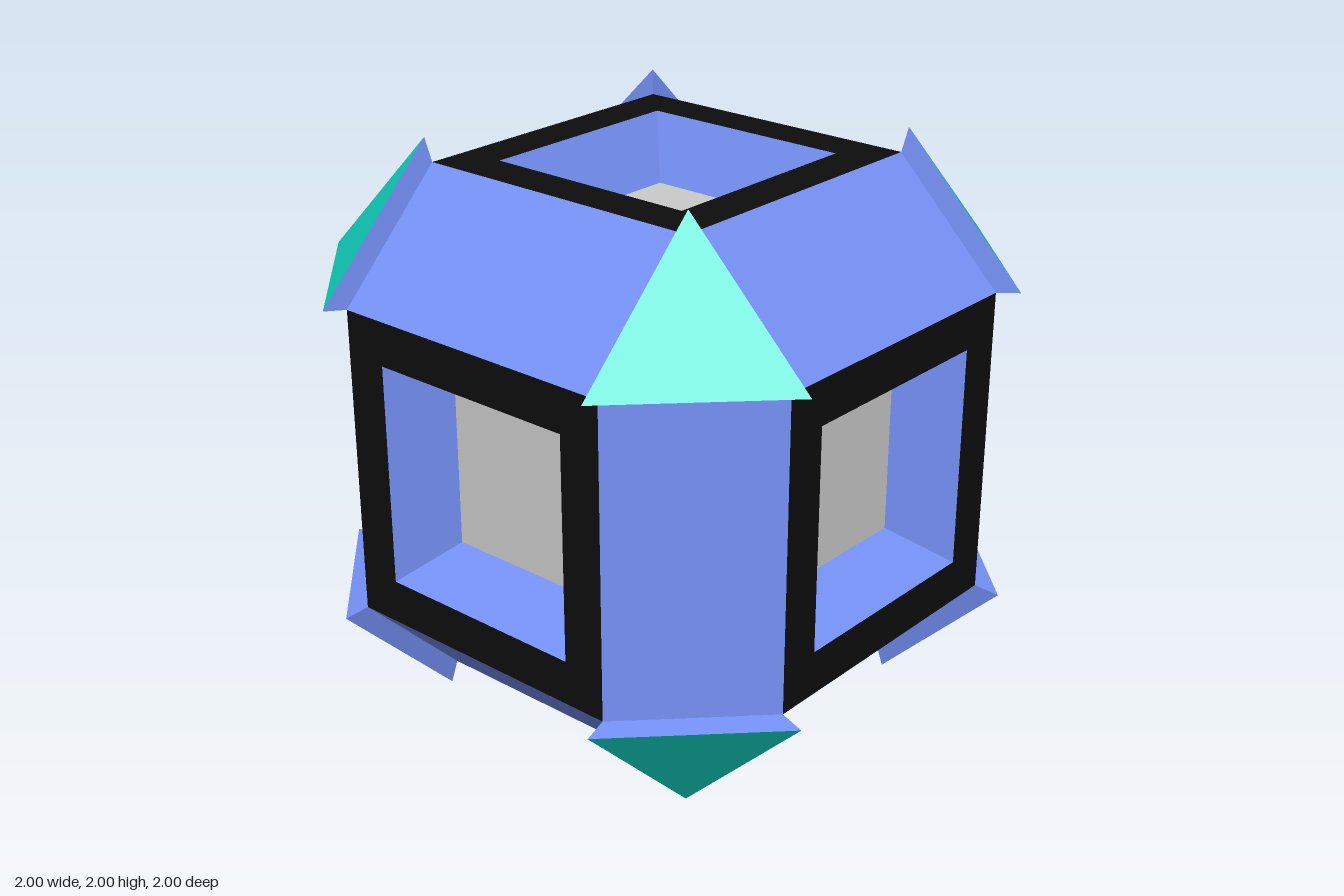
import * as THREE from 'three';

const FACE = 0.53;   // half width of the square faces
const OUT = 0.917;   // distance of the square faces from the centre
const HOLE = 0.38;   // half width of the recess opening
const FLOOR = 0.29;  // half width of the recess floor
const DEEP = 0.7;    // distance of the recess floor from the centre

const material = (color) => new THREE.MeshStandardMaterial({ color, flatShading: true });

// Flat-shaded geometry from convex polygons given as lists of corners
function polygons(list) {
  const pos = [];
  for (const p of list)
    for (let i = 1; i < p.length - 1; i++) pos.push(...p[0], ...p[i], ...p[i + 1]);
  const geometry = new THREE.BufferGeometry();
  geometry.setAttribute('position', new THREE.Float32BufferAttribute(pos, 3));
  geometry.computeVertexNormals();
  return geometry;
}

// Band of quads joining two matching loops
const band = (a, b) => polygons(a.map((p, i) => {
  const j = (i + 1) % a.length;
  return [p, a[j], b[j], b[i]];
}));

const square = (h, z) => [[-h, -h, z], [h, -h, z], [h, h, z], [-h, h, z]];

// Corner triangle in the octant given by the signs
function triangle(sx, sy, sz, far, near) {
  const loop = [[sx * far, sy * near, sz * near], [sx * near, sy * far, sz * near], [sx * near, sy * near, sz * far]];
  return sx * sy * sz > 0 ? loop : loop.reverse();
}

export function createModel() {
  const model = new THREE.Group();
  model.name = 'facetedBall';
  model.position.y = 1;

  const blue = material(0x7590f5);
  const teal = material(0x11d6c2);
  const black = material(0x0d0d0d);
  const grey = material(0xcccccc);

  const add = (parent, name, geometry, mat) => {
    const mesh = new THREE.Mesh(geometry, mat);
    mesh.name = name;
    parent.add(mesh);
    return mesh;
  };

  // Six square faces: black frame, tapered recess walls and grey floor
  const frameGeo = band(square(FACE, OUT), square(HOLE, OUT));
  const wallGeo = band(square(HOLE, OUT), square(FLOOR, DEEP));
  const floorGeo = polygons([square(FLOOR, DEEP)]);
  const q = Math.PI / 2;
  for (const [rx, ry] of [[0, 0], [0, q], [0, 2 * q], [0, -q], [q, 0], [-q, 0]]) {
    const window = new THREE.Group();
    window.name = 'window';
    window.rotation.set(rx, ry, 0);
    add(window, 'windowFrame', frameGeo, black);
    add(window, 'recessWalls', wallGeo, blue);
    add(window, 'recessFloor', floorGeo, grey);
    model.add(window);
  }

  // Twelve bevel panels: a ring of four around each axis
  const panelGeo = new THREE.PlaneGeometry(2 * FACE, (OUT - FACE) * Math.SQRT2);
  panelGeo.translate(0, 0, (OUT + FACE) / Math.SQRT2);
  for (const [ry, rz] of [[0, 0], [0, q], [q, 0]]) {
    const ring = new THREE.Group();
    ring.name = 'bevelRing';
    ring.rotation.set(0, ry, rz);
    for (let k = 0; k < 4; k++)
      add(ring, 'bevelPanel', panelGeo, blue).rotation.x = (k + 0.5) * q;
    model.add(ring);
  }

  // Eight raised corner caps with flared rims
  for (const sx of [-1, 1]) for (const sy of [-1, 1]) for (const sz of [-1, 1]) {
    const base = triangle(sx, sy, sz, OUT, FACE);
    const top = triangle(sx, sy, sz, 1, 0.545);
    const corner = new THREE.Group();
    corner.name = 'corner';
    add(corner, 'cornerRim', band(base, top), blue);
    add(corner, 'cornerCap', polygons([top]), teal);
    model.add(corner);
  }

  const root = new THREE.Group();
  root.name = 'model';
  root.add(model);
  return root;
}
